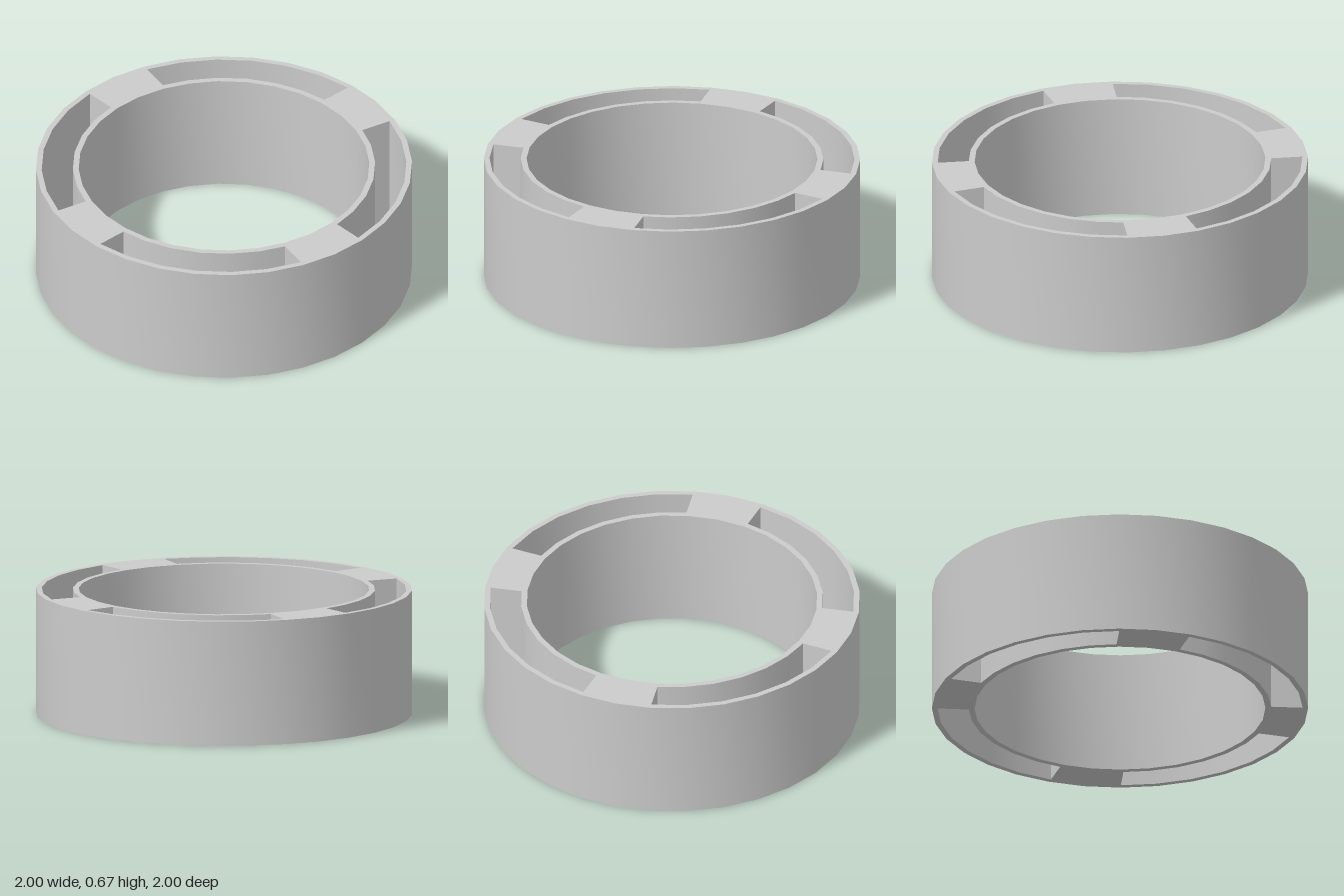
import * as THREE from 'three';
import { toCreasedNormals } from 'three/addons/utils/BufferGeometryUtils.js';

const SIDES = 32;
const STEP = (Math.PI * 2) / SIDES;
const HEIGHT = 0.67;
const OUTER_RADIUS = 1;
const SLOT_OUTER = 0.97;
const SLOT_INNER = 0.804;
const BORE_RADIUS = 0.773;

const polar = (r, a) => new THREE.Vector2(r * Math.cos(a), r * Math.sin(a));

// Regular polygon with a corner on each axis
function ring(r) {
  return Array.from({ length: SIDES }, (_, i) => polar(r, i * STEP));
}

// Curved slot between two bridges; its inner ends sit slightly past the facet corners
function slot(quarter) {
  const start = quarter * Math.PI / 2;
  const outer = [], inner = [];
  for (let i = 1; i <= 7; i++) {
    const shift = i === 1 ? 0.018 : i === 7 ? -0.018 : 0;
    outer.push(polar(SLOT_OUTER, start + i * STEP));
    inner.push(polar(SLOT_INNER, start + i * STEP + shift));
  }
  return [...outer, ...inner.reverse()];
}

export function createModel() {
  const group = new THREE.Group();
  group.name = 'slottedRing';

  // Two thin concentric walls joined by four solid bridges
  const shape = new THREE.Shape(ring(OUTER_RADIUS));
  shape.holes.push(new THREE.Path(ring(BORE_RADIUS)));
  for (let q = 0; q < 4; q++) shape.holes.push(new THREE.Path(slot(q)));

  const solid = new THREE.ExtrudeGeometry(shape, { depth: HEIGHT, bevelEnabled: false });
  solid.rotateX(-Math.PI / 2);

  // Smooth round walls, crisp rims and slot corners
  const body = new THREE.Mesh(
    toCreasedNormals(solid, 0.6),
    new THREE.MeshStandardMaterial({ color: 0xcccccc })
  );
  body.name = 'ringBody';
  group.add(body);
  return group;
}
